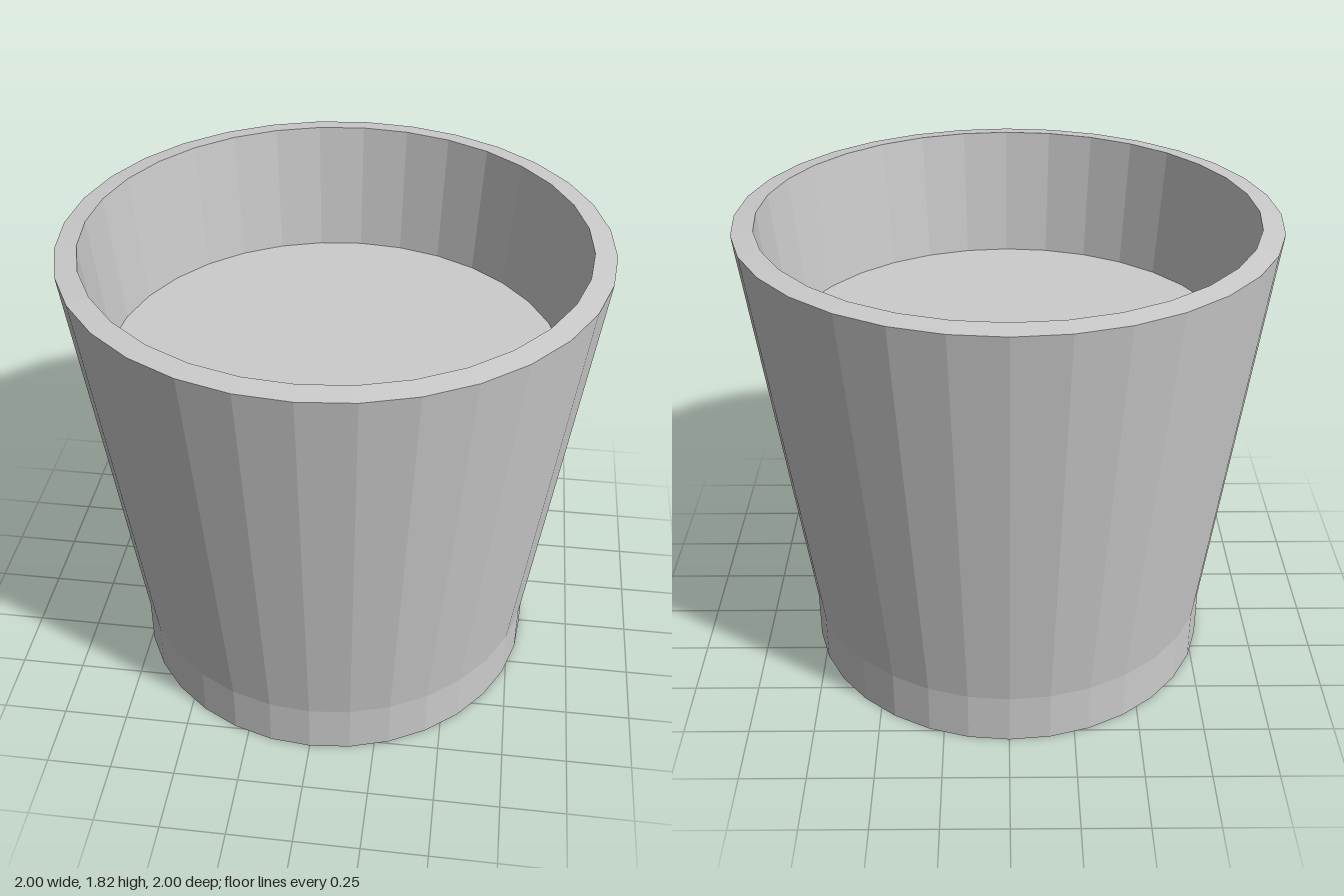
import * as THREE from 'three';

const SIDES = 32;

export function createModel() {
  const model = new THREE.Group();
  model.name = 'plantPot';
  const material = new THREE.MeshStandardMaterial({ color: 0xcccccc, flatShading: true });

  const add = (name, geometry) => {
    const mesh = new THREE.Mesh(geometry, material);
    mesh.name = name;
    model.add(mesh);
    return mesh;
  };

  // Ring surface turned from a short profile of [radius, height] points
  const turned = (name, profile) =>
    add(name, new THREE.LatheGeometry(profile.map(([r, y]) => new THREE.Vector2(r, y)), SIDES));

  // Flat horizontal disc facing up (1) or down (-1)
  const disc = (name, radius, y, facing) => {
    const geometry = new THREE.CircleGeometry(radius, SIDES);
    geometry.rotateX(-facing * Math.PI / 2);
    add(name, geometry).position.y = y;
  };

  // Straight foot and its underside
  turned('foot', [[0.8, 0], [0.8, 0.2]]);
  disc('underside', 0.8, 0, -1);

  // Flaring outer wall, slightly sloped rim and inner wall
  turned('outerWall', [[0.8, 0.2], [1, 1.81]]);
  turned('rim', [[1, 1.81], [0.92, 1.82]]);
  turned('innerWall', [[0.92, 1.82], [0.87, 1.31]]);

  // Level surface filling the pot
  disc('soil', 0.87, 1.31, 1);

  return model;
}
